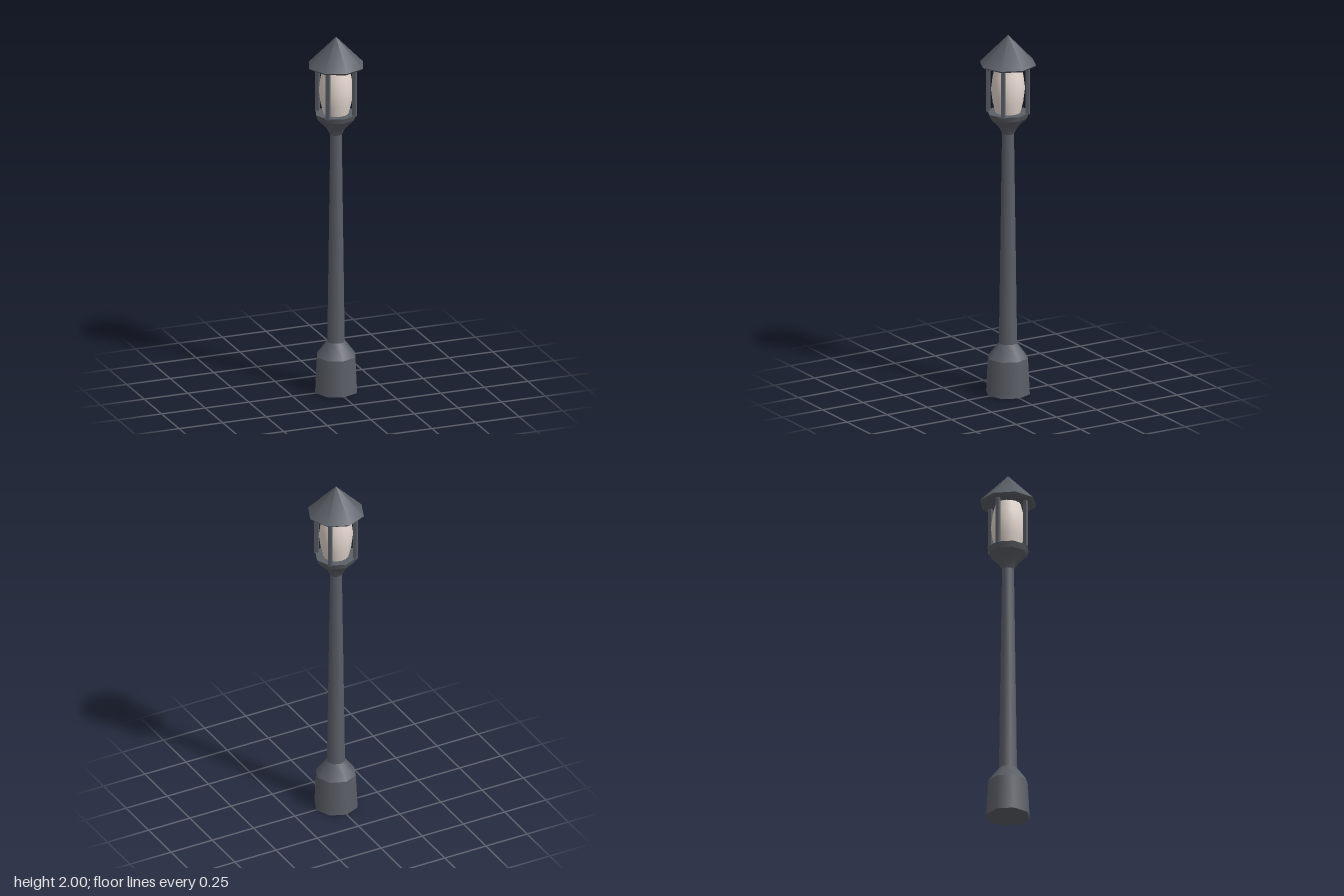
import * as THREE from 'three';

const iron = new THREE.MeshStandardMaterial({ color: 0x5b5f67 });
iron.name = 'dark iron';
const frosted = new THREE.MeshStandardMaterial({ color: 0xe4d7cf });
frosted.name = 'frosted glass';

// Turned part; each band keeps its own normals so edges between bands stay crisp
function turned(name, material, bands, sides = 8) {
  const group = new THREE.Group();
  group.name = name;
  bands.forEach((band) => {
    const points = band.map(([r, y]) => new THREE.Vector2(r, y));
    const mesh = new THREE.Mesh(new THREE.LatheGeometry(points, sides), material);
    mesh.name = name + 'Band';
    group.add(mesh);
  });
  return group;
}

export function createModel() {
  const lamp = new THREE.Group();
  lamp.name = 'streetLamp';

  // Octagonal foot with sloping shoulder
  lamp.add(turned('base', iron, [
    [[0, 0], [0.12, 0]],
    [[0.12, 0], [0.11, 0.2]],
    [[0.11, 0.2], [0.05, 0.28]],
  ]));

  // Tapered pole
  lamp.add(turned('pole', iron, [[[0.05, 0.28], [0.033, 1.45]]]));

  // Flared tray under the lantern
  lamp.add(turned('tray', iron, [
    [[0.033, 1.45], [0.054, 1.49], [0.103, 1.54]],
    [[0.103, 1.54], [0.115, 1.57]],
    [[0.115, 1.57], [0, 1.57]],
  ]));

  // Barrel-shaped glass
  lamp.add(turned('glass', frosted, [
    [[0.068, 1.57], [0.083, 1.63], [0.092, 1.70], [0.083, 1.77], [0.068, 1.83]],
  ], 16));

  // Four corner posts
  for (let i = 0; i < 4; i++) {
    const angle = Math.PI / 4 + i * Math.PI / 2;
    const post = new THREE.Mesh(new THREE.BoxGeometry(0.02, 0.27, 0.02), iron);
    post.name = 'post';
    post.position.set(Math.sin(angle) * 0.108, 1.7, Math.cos(angle) * 0.108);
    post.rotation.y = angle;
    lamp.add(post);
  }

  // Pointed roof with a small eave
  lamp.add(turned('roof', iron, [
    [[0, 1.83], [0.145, 1.83]],
    [[0.145, 1.83], [0.155, 1.84]],
    [[0.155, 1.84], [0, 2]],
  ]));

  return lamp;
}
